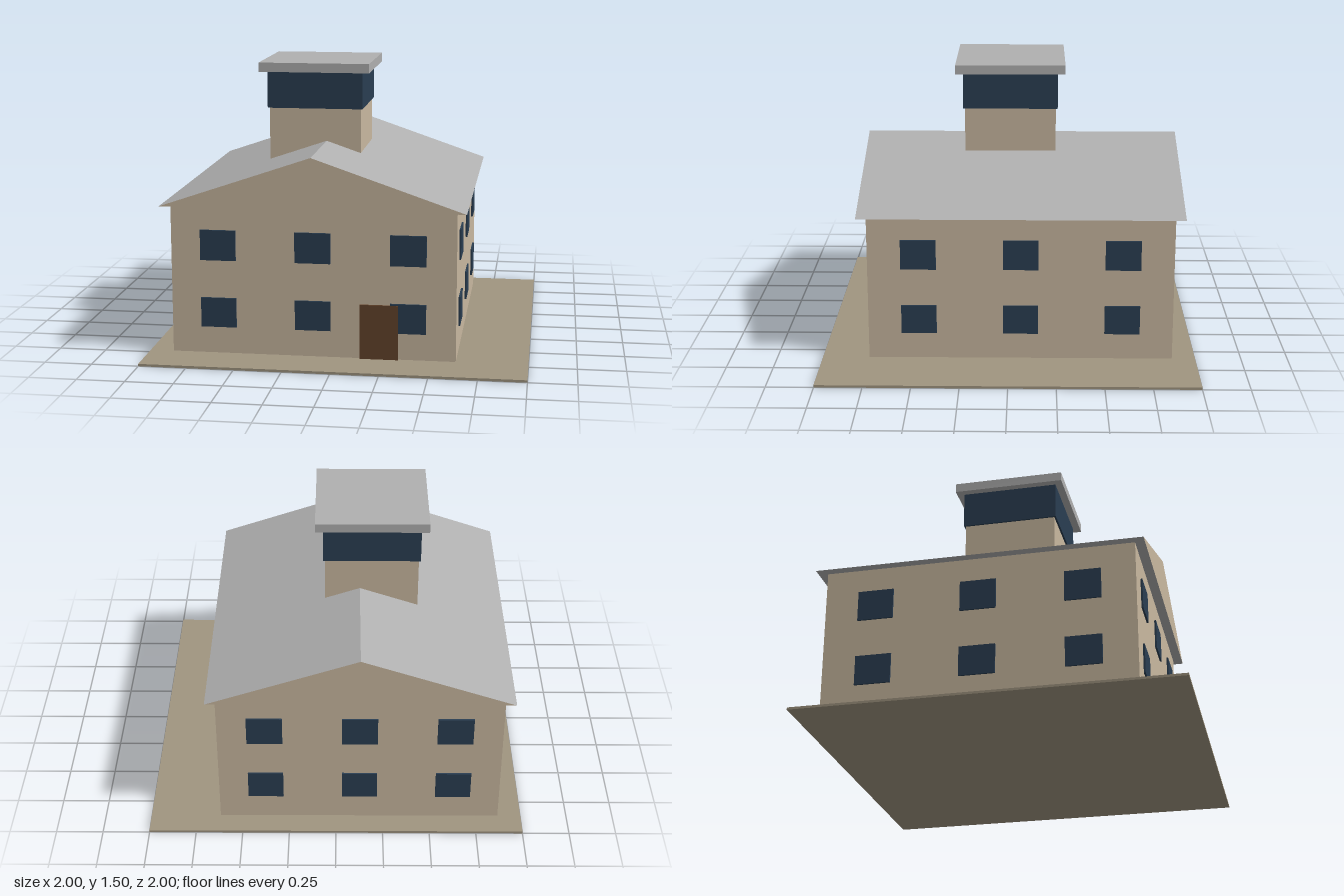
import * as THREE from 'three';

const material = (name, color) => Object.assign(new THREE.MeshStandardMaterial({ color }), { name });

export function createModel() {
  const model = new THREE.Group();
  model.name = 'towerHouse';
  const wall = material('wall tan', 0xc9b8a0);
  const ground = material('ground tan', 0xa09580);
  const roofGrey = material('roof grey', 0xb0b0b0);
  const glass = material('dark blue glass', 0x2a3e52);
  const wood = material('door brown', 0x64432b);

  // Box given by its limits on each axis
  function box(name, mat, [x0, x1], [y0, y1], [z0, z1]) {
    const mesh = new THREE.Mesh(new THREE.BoxGeometry(x1 - x0, y1 - y0, z1 - z0), mat);
    mesh.position.set((x0 + x1) / 2, (y0 + y1) / 2, (z0 + z1) / 2);
    mesh.name = name;
    model.add(mesh);
  }

  // Ground slab and main block
  box('groundSlab', ground, [-1, 1], [0, 0.0125], [-1, 1]);
  box('mainWalls', wall, [-0.875, 0.625], [0.006, 0.805], [-0.875, 0.75]);

  // Gabled roof: tan ends, grey slopes and underside
  const gable = new THREE.Shape([
    new THREE.Vector2(-0.925, 0.805),
    new THREE.Vector2(0.675, 0.805),
    new THREE.Vector2(-0.125, 1.078),
  ]);
  const roof = new THREE.Mesh(
    new THREE.ExtrudeGeometry(gable, { depth: 1.725, bevelEnabled: false }),
    [wall, roofGrey],
  );
  roof.position.z = -0.925;
  roof.name = 'gableRoof';
  model.add(roof);

  // Tower with glazed band and flat cap
  box('towerWalls', wall, [-0.4375, 0.0625], [0.82, 1.255], [-0.25, 0.25]);
  box('towerGlazing', glass, [-0.4475, 0.0725], [1.255, 1.455], [-0.26, 0.26]);
  box('towerCap', roofGrey, [-0.4875, 0.1125], [1.455, 1.505], [-0.3, 0.3]);

  // Three windows per floor on every side
  const thick = 0.0095;
  for (const [y0, y1] of [[0.155, 0.313], [0.515, 0.677]]) {
    for (const i of [-1, 0, 1]) {
      const x = -0.125 + i * 0.5;
      const z = -0.0625 + i * 0.5417;
      const spanX = [x - 0.094, x + 0.094];
      const spanZ = [z - 0.094, z + 0.094];
      box('frontWindow', glass, spanX, [y0, y1], [0.75, 0.75 + thick]);
      box('backWindow', glass, spanX, [y0, y1], [-0.875 - thick, -0.875]);
      box('leftWindow', glass, [0.625, 0.625 + thick], [y0, y1], spanZ);
      box('rightWindow', glass, [-0.875 - thick, -0.875], [y0, y1], spanZ);
    }
  }

  // Front door, standing just proud of the window beside it
  box('frontDoor', wood, [0.122, 0.324], [0.0125, 0.304], [0.753, 0.7625]);

  return model;
}
